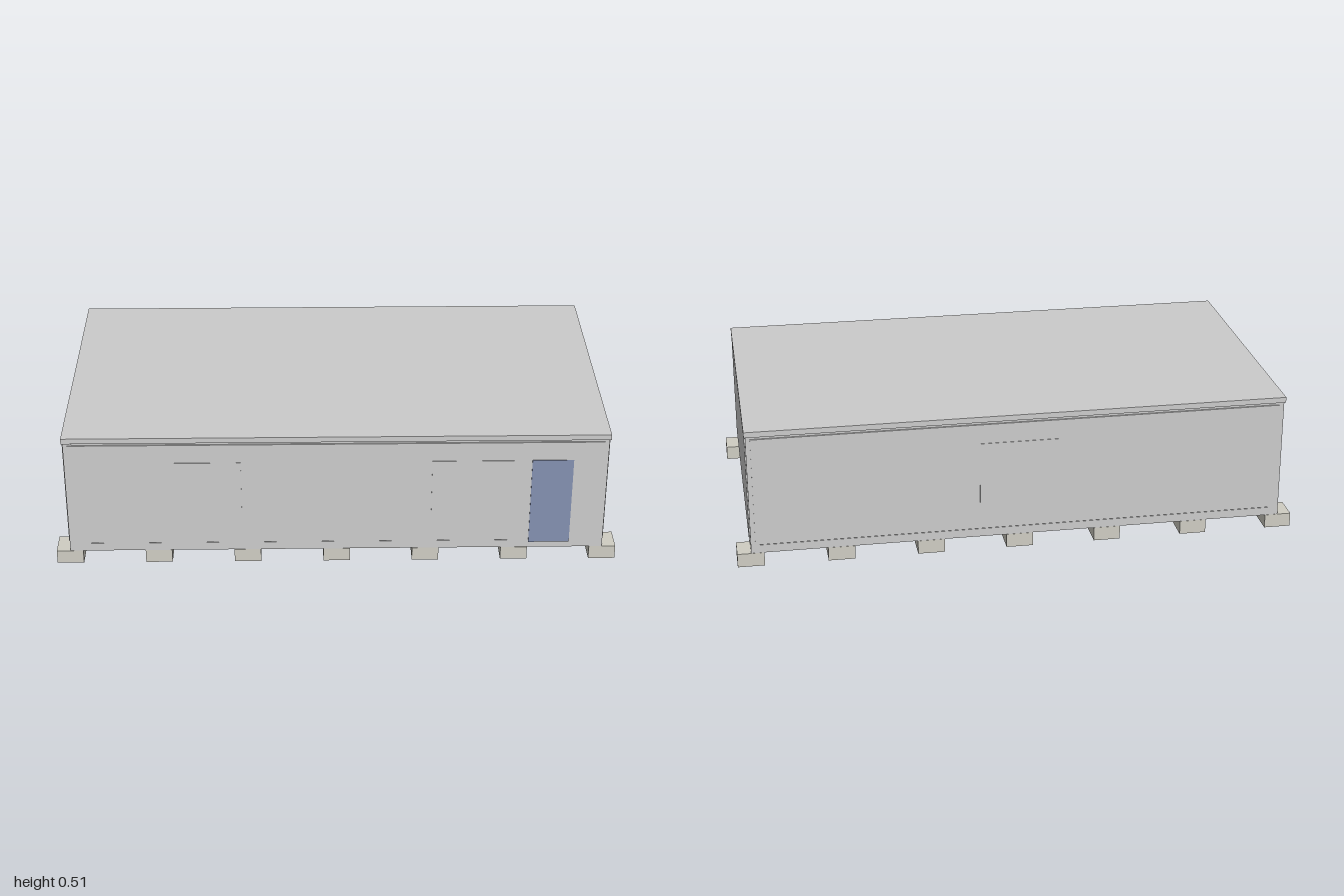
import * as THREE from 'three';

const grey = new THREE.MeshStandardMaterial({ color: 0xcccccc });
const blockMat = new THREE.MeshStandardMaterial({ color: 0xcfcdc3 });
const floorMat = new THREE.MeshStandardMaterial({ color: 0xcfc6ad });
const doorMat = new THREE.MeshStandardMaterial({ color: 0x8490b0 });

// Box given by its lower and upper corners
function addBox(parent, name, [x0, y0, z0], [x1, y1, z1], material = grey) {
  const mesh = new THREE.Mesh(new THREE.BoxGeometry(x1 - x0, y1 - y0, z1 - z0), material);
  mesh.position.set((x0 + x1) / 2, (y0 + y1) / 2, (z0 + z1) / 2);
  mesh.name = name;
  parent.add(mesh);
  return mesh;
}

export function createModel() {
  const model = new THREE.Group();
  model.name = 'modularBuilding';
  const X = 0.951, Z = 0.516; // outer faces of the frame

  // Frame: corner posts and rails
  const frame = new THREE.Group();
  frame.name = 'frame';
  model.add(frame);
  const post = 0.03;
  for (const sx of [-1, 1]) {
    const xa = sx > 0 ? X - post : -X;
    for (const sz of [-1, 1]) {
      const za = sz > 0 ? Z - post : -Z;
      addBox(frame, 'cornerPost', [xa, 0.08, za], [xa + post, 0.49, za + post]);
    }
    addBox(frame, 'endBottomRail', [xa, 0.05, -Z], [xa + post, 0.08, Z]);
  }
  for (const sz of [-1, 1]) {
    const za = sz > 0 ? Z - post : -Z;
    addBox(frame, 'sideBottomRail', [-X + post, 0.05, za], [X - post, 0.08, za + post]);
  }

  // Wall core just behind the cladding, and the overhanging roof
  addBox(model, 'wallCore', [-X + 0.002, 0.08, -Z + 0.002], [X - 0.002, 0.49, Z - 0.002]);
  addBox(model, 'roof', [-0.956, 0.49, -0.521], [0.956, 0.51, 0.521]);

  // Floor in three sections
  const floorX = X - post, third = (2 * floorX) / 3;
  for (let i = 0; i < 3; i++) {
    const x0 = -floorX + i * third;
    addBox(model, 'floorSection', [x0 + 0.0005, 0.0502, -Z + post], [x0 + third - 0.0005, 0.08, Z - post], floorMat);
  }

  // Cladding panels, slightly proud of the frame
  for (const s of [-1, 1]) {
    const end = addBox(model, 'endPanel', [-0.005, 0.083, -0.5], [0.005, 0.481, 0.5]);
    end.position.x = s * 0.95;
    const side = addBox(model, 'sidePanel', [-0.935, 0.083, -0.005], [0.935, 0.481, 0.005]);
    side.position.z = s * 0.515;
  }

  // Windows: two in front, one behind
  for (const [x, s] of [[-0.478, 1], [0.478, 1], [0, -1]]) {
    const pane = addBox(model, 'window', [-0.143, 0.185, -0.003], [0.143, 0.41, 0.003]);
    pane.position.x = x;
    pane.position.z = s * 0.519;
  }

  // Door
  addBox(model, 'door', [0.685, 0.075, 0.515], [0.83, 0.411, 0.523], doorMat);

  // Foundation blocks along both long sides
  for (let i = 0; i < 7; i++) {
    const x = (i - 3) * 0.3175;
    for (const s of [-1, 1]) {
      const block = addBox(model, 'foundationBlock', [-0.0475, 0, -0.048], [0.0475, 0.05, 0.048], blockMat);
      block.position.x = x;
      block.position.z = s * 0.469;
    }
  }
  return model;
}
